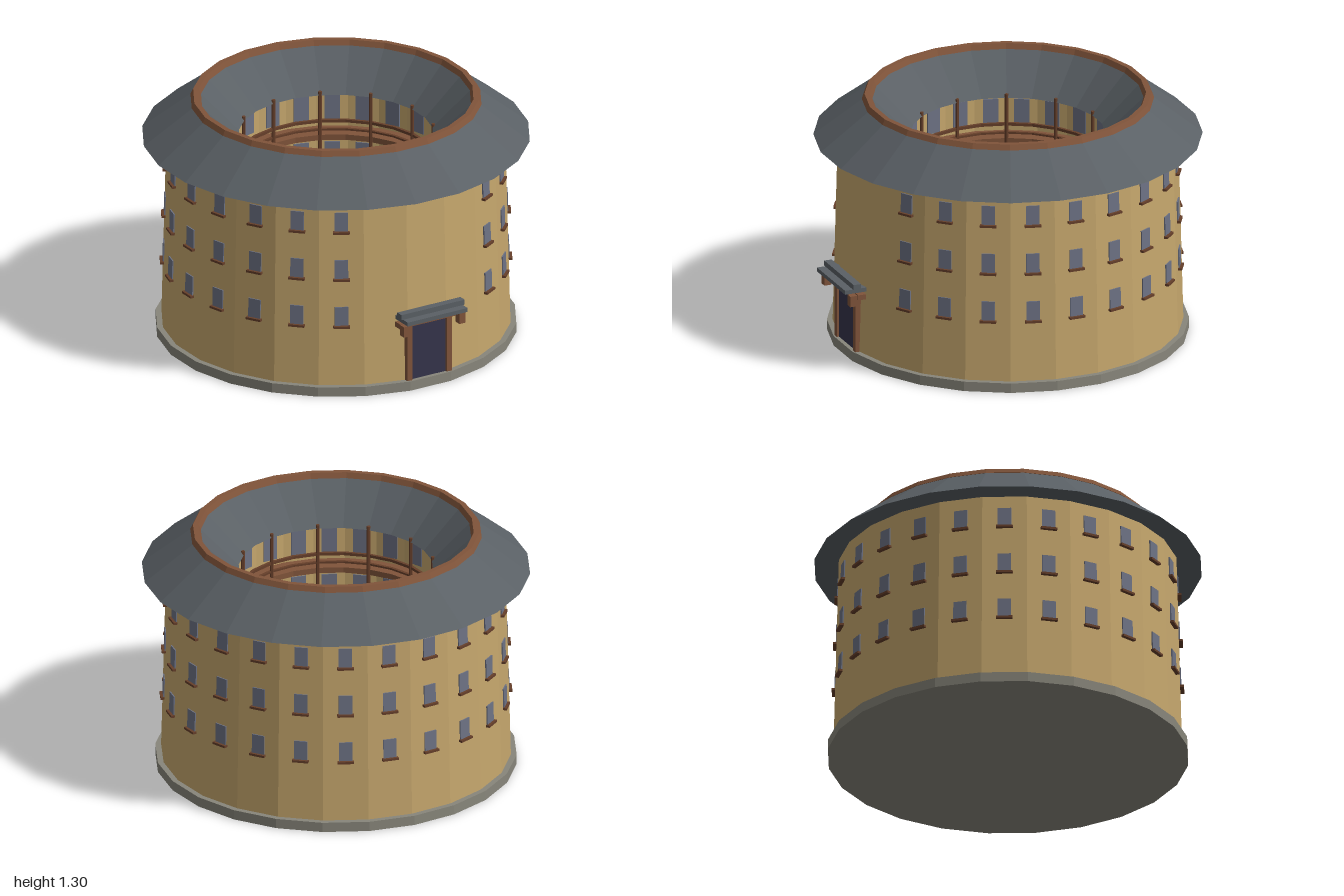
import * as THREE from 'three';

const SIDES = 24;
const STEP = (Math.PI * 2) / SIDES;

const paint = (color) => new THREE.MeshStandardMaterial({ color });

export function createModel() {
  const earth = paint(0xc6a76d);
  const slate = paint(0x5a6065);
  const wood = paint(0x80543a);
  const darkWood = paint(0x663f2a);
  const stone = paint(0x88867b);
  const paving = paint(0x938c80);
  const glass = paint(0x6d7284);
  const doorBlue = paint(0x35344b);
  const leaf = paint(0x4a8a5a);

  const model = new THREE.Group();
  model.name = 'roundHouse';

  // Faceted mesh helper
  function add(parent, name, geometry, material, x = 0, y = 0, z = 0) {
    const flat = geometry.index ? geometry.toNonIndexed() : geometry;
    flat.computeVertexNormals();
    const mesh = new THREE.Mesh(flat, material);
    mesh.name = name;
    mesh.position.set(x, y, z);
    parent.add(mesh);
    return mesh;
  }
  const box = (parent, name, material, w, h, d, x, y, z) =>
    add(parent, name, new THREE.BoxGeometry(w, h, d), material, x, y, z);

  // Closed 24-sided ring from a profile of [radius, height], outer side upwards first
  function ring(parent, name, material, profile) {
    const points = [...profile, profile[0]].map(([r, y]) => new THREE.Vector2(r, y));
    return add(parent, name, new THREE.LatheGeometry(points, SIDES, STEP / 2), material);
  }
  const band = (parent, name, material, inner, outer, y0, y1) =>
    ring(parent, name, material, [[outer, y0], [outer, y1], [inner, y1], [inner, y0]]);

  function group(name, parent = model) {
    const g = new THREE.Group();
    g.name = name;
    parent.add(g);
    return g;
  }

  // Plinth and courtyard floor
  add(model, 'plinth', new THREE.CylinderGeometry(0.938, 0.938, 0.052, SIDES, 1, false, STEP / 2), stone, 0, 0.026, 0);
  add(model, 'courtyard', new THREE.CylinderGeometry(0.64, 0.64, 0.008, SIDES, 1, false, STEP / 2), paving, 0, 0.056, 0);

  // Tapered earth wall, with living quarters between outer and inner face
  ring(model, 'earthWall', earth, [[0.908, 0.05], [0.881, 1.085], [0.63, 1.085], [0.63, 0.05]]);

  // Ring roof and its ridge
  ring(model, 'roof', slate, [[1.008, 1.08], [0.745, 1.282], [0.71, 1.282], [0.505, 1.08]]);
  ring(model, 'roofRidge', wood, [[0.757, 1.275], [0.743, 1.303], [0.715, 1.303], [0.702, 1.275]]);

  // Outer windows, leaving the three front bays clear for the gate
  const storeys = [0.435, 0.697, 0.96];
  const windows = group('outerWindows');
  for (let i = 2; i <= SIDES - 2; i++) {
    const bay = group('windowBay', windows);
    bay.rotation.y = i * STEP;
    for (const y of storeys) {
      const face = 0.9002 - (y - 0.05) * 0.0259;
      const pane = box(bay, 'windowPane', glass, 0.07, 0.106, 0.009, 0, y, face + 0.002);
      pane.rotation.x = -0.026;
      box(bay, 'windowSill', darkWood, 0.086, 0.012, 0.03, 0, y - 0.056, face + 0.007);
    }
  }

  // Inner galleries: floors, railings and doors on each storey
  const galleries = group('galleries');
  for (const y of [0.32, 0.58, 0.84]) {
    band(galleries, 'galleryFloor', wood, 0.51, 0.635, y - 0.015, y + 0.015);
    band(galleries, 'galleryRail', darkWood, 0.507, 0.523, y + 0.085, y + 0.1);
    band(galleries, 'galleryLowRail', darkWood, 0.507, 0.523, y + 0.04, y + 0.05);
  }
  for (let i = 0; i < SIDES; i++) {
    const bay = group('innerBay', galleries);
    bay.rotation.y = i * STEP;
    for (const y of [0.18, ...storeys]) {
      box(bay, 'innerWindow', glass, 0.08, 0.14, 0.009, 0, y, 0.6225);
    }
  }

  // Gallery posts rising through the inner eave
  for (let i = 0; i < 12; i++) {
    const a = STEP / 2 + i * STEP * 2;
    add(galleries, 'galleryPost', new THREE.CylinderGeometry(0.01, 0.01, 1.05, 6), darkWood,
      Math.sin(a) * 0.51, 0.575, Math.cos(a) * 0.51);
  }

  // Main gate with frame, brackets and small canopy
  const gate = group('gate');
  box(gate, 'gateDoor', doorBlue, 0.21, 0.312, 0.009, 0, 0.206, 0.903);
  box(gate, 'gateLintel', wood, 0.37, 0.028, 0.045, 0, 0.372, 0.902);
  for (const side of [-1, 1]) {
    box(gate, 'gatePost', wood, 0.03, 0.31, 0.035, side * 0.12, 0.207, 0.902);
    box(gate, 'gateBracket', wood, 0.038, 0.058, 0.04, side * 0.169, 0.357, 0.95);
  }
  box(gate, 'canopy', slate, 0.365, 0.022, 0.12, 0, 0.411, 0.938);
  box(gate, 'canopyRidge', slate, 0.385, 0.028, 0.042, 0, 0.436, 0.932);

  // Square hall in the middle of the courtyard
  const hall = group('centralHall');
  box(hall, 'hallWalls', earth, 0.36, 0.24, 0.36, 0, 0.18, 0);
  box(hall, 'hallDoor', doorBlue, 0.1, 0.17, 0.008, 0, 0.145, 0.182);
  box(hall, 'hallEaves', slate, 0.465, 0.025, 0.465, 0, 0.31, 0);
  add(hall, 'hallRoof', new THREE.CylinderGeometry(0, 0.2 * Math.SQRT2, 0.15, 4, 1, false, Math.PI / 4), slate, 0, 0.397, 0);

  // Four courtyard trees
  for (const x of [-0.313, 0.313]) {
    for (const z of [-0.313, 0.313]) {
      const tree = group('tree');
      tree.position.set(x, 0, z);
      add(tree, 'treeTrunk', new THREE.CylinderGeometry(0.01, 0.014, 0.1, 6), darkWood, 0, 0.11, 0);
      add(tree, 'treeCrown', new THREE.SphereGeometry(0.064, 6, 5), leaf, 0, 0.2, 0);
    }
  }

  return model;
}
